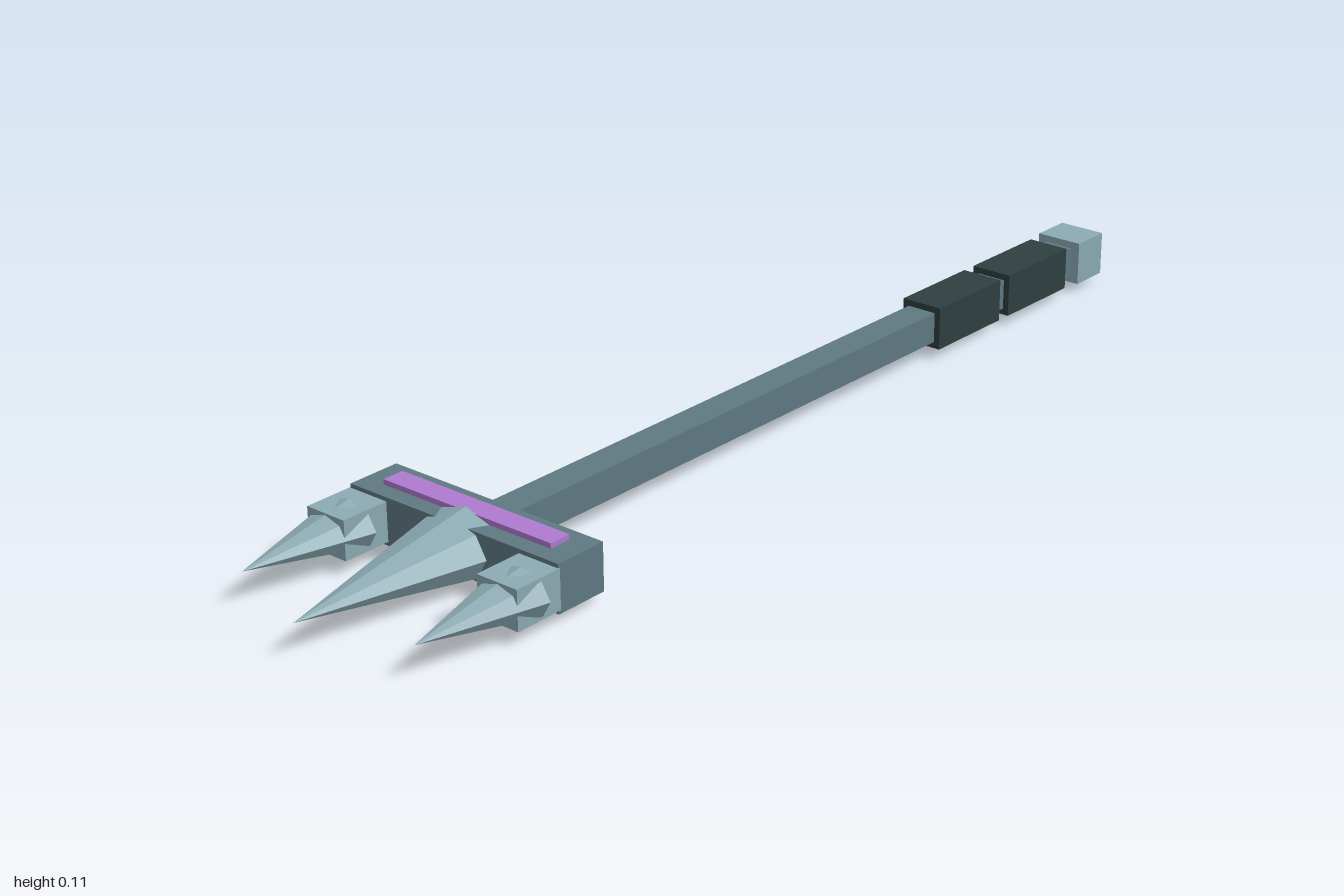
import * as THREE from 'three';

const mat = (name, color) => {
  const m = new THREE.MeshStandardMaterial({ color });
  m.name = name;
  m.flatShading = true;
  return m;
};

export function createModel() {
  const group = new THREE.Group();
  const steel = mat('steel', 0x5f7a83);
  const paleSteel = mat('paleSteel', 0x8cabb4);
  const grip = mat('darkGrip', 0x2f3f40);
  const purple = mat('purple', 0xb07ad0);
  const midY = 0.057;

  const add = (name, geometry, material, x, y, z) => {
    const mesh = new THREE.Mesh(geometry, material);
    mesh.name = name;
    mesh.position.set(x, y, z);
    group.add(mesh);
  };

  // Box spanning z0 to z1 along the weapon
  const bar = (name, material, w, h, z0, z1, x = 0, y = midY) =>
    add(name, new THREE.BoxGeometry(w, h, z1 - z0), material, x, y, (z0 + z1) / 2);

  // Flattened eight-sided spike pointing to +z
  const spike = (name, rx, ry, z0, z1, x = 0) => {
    const g = new THREE.ConeGeometry(1, z1 - z0, 8).rotateX(Math.PI / 2).scale(rx, ry, 1);
    add(name, g, paleSteel, x, midY, (z0 + z1) / 2);
  };

  // Shaft, wrapped grips and pommel
  bar('shaft', steel, 0.057, 0.055, -0.93, 0.6);
  bar('rearGrip', grip, 0.08, 0.078, -0.888, -0.704);
  bar('frontGrip', grip, 0.08, 0.078, -0.676, -0.492);
  bar('pommel', paleSteel, 0.09, 0.08, -1, -0.923);

  // Crossbar with an inlaid strip on top
  bar('crossbar', steel, 0.434, 0.082, 0.585, 0.682);
  bar('inlayStrip', purple, 0.35, 0.009, 0.612, 0.652, 0, 0.1025);

  // Prongs
  spike('centreSpike', 0.079, 0.056, 0.65, 1);
  for (const [side, s] of [['left', 1], ['right', -1]]) {
    bar(side + 'ProngBase', paleSteel, 0.08, 0.068, 0.68, 0.77, s * 0.179);
    spike(side + 'Spike', 0.057, 0.04, 0.72, 0.937, s * 0.18);
  }
  return group;
}
